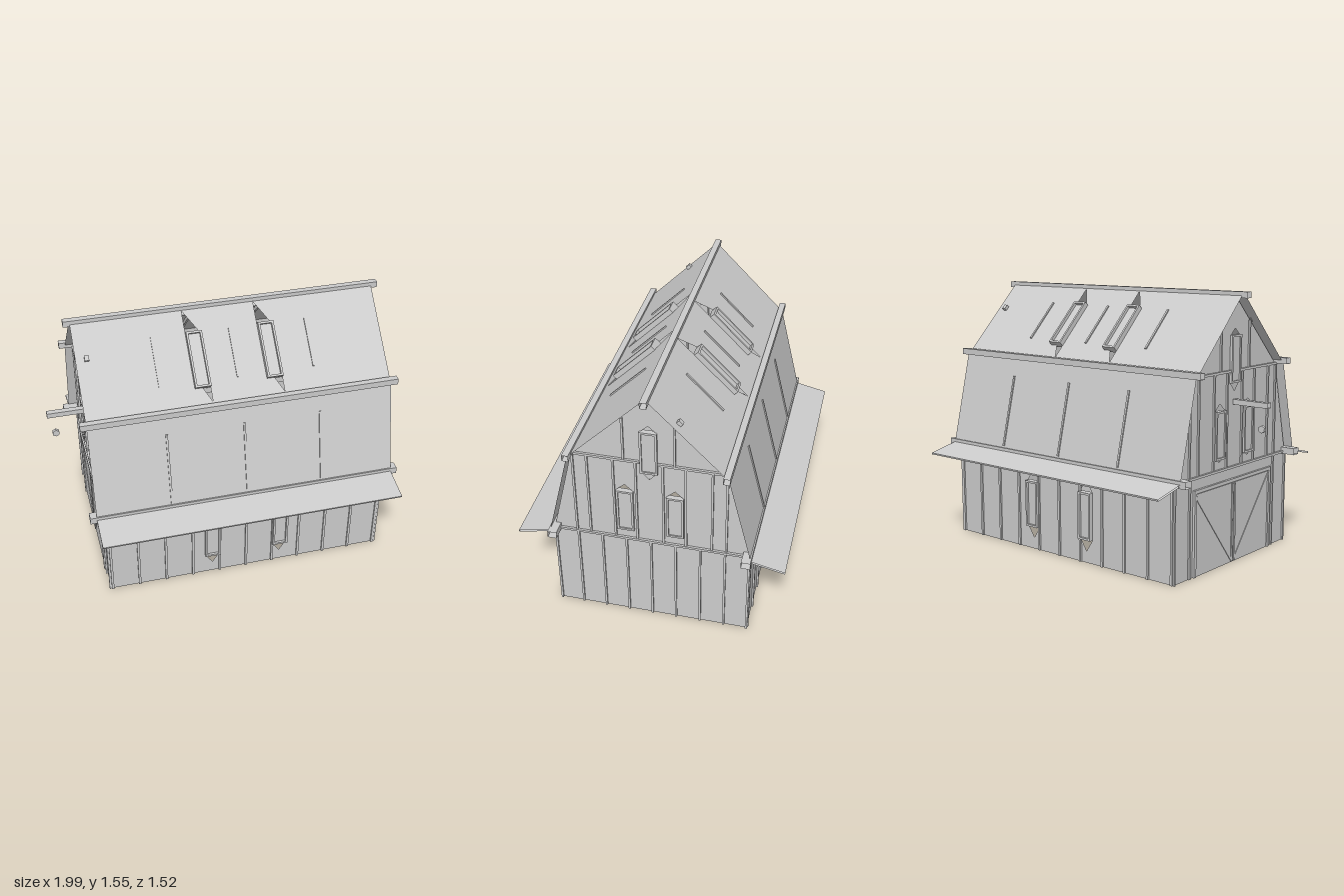
import * as THREE from 'three';

const material = new THREE.MeshStandardMaterial({ color: 0xcccccc, flatShading: true, side: THREE.DoubleSide });

function add(parent, name, geometry, x = 0, y = 0, z = 0) {
  const mesh = new THREE.Mesh(geometry, material);
  mesh.name = name;
  mesh.position.set(x, y, z);
  parent.add(mesh);
  return mesh;
}

const box = (parent, name, w, h, d, x, y, z) => add(parent, name, new THREE.BoxGeometry(w, h, d), x, y, z);

// A board along x whose two ends are left open
function openBoard(parent, name, w, h, d, x, y, z) {
  const g = new THREE.BoxGeometry(w, h, d);
  g.setIndex(Array.from(g.index.array).slice(12));
  g.clearGroups();
  return add(parent, name, g, x, y, z);
}

// A thin sheet with polygon holes
function sheet(parent, name, outline, holes = []) {
  const toVectors = (pts) => pts.map(([x, y]) => new THREE.Vector2(x, y));
  const shape = new THREE.Shape(toVectors(outline));
  for (const h of holes) shape.holes.push(new THREE.Path(toVectors(h)));
  return add(parent, name, new THREE.ShapeGeometry(shape));
}

// Framed window, standing proud of its surface
function windowUnit(parent, name, x, y0, y1, w, out) {
  const g = new THREE.Group();
  g.name = name;
  g.position.set(x, (y0 + y1) / 2, 0);
  const h = y1 - y0, t = 0.012, d = out + 0.015, z = (out - 0.015) / 2;
  for (const s of [-1, 1]) {
    box(g, 'windowJamb', t, h, d, s * (w - t) / 2, 0, z);
    box(g, 'windowRail', w - 2 * t, t, d, 0, s * (h - t) / 2, z);
  }
  box(g, 'windowPane', w - 2 * t, h - 2 * t, 0.006, 0, 0, out * 0.3);
  parent.add(g);
}

// Window opening that runs to a point above and below
const pointedHole = (x, y0, y1, w, top, bottom) => [
  [x - w / 2, y0], [x, y0 - bottom], [x + w / 2, y0],
  [x + w / 2, y1], [x, y1 + top], [x - w / 2, y1],
];

// Group leaning back from (y0, z0) to (y1, z1); its local y runs up the slope
function slope(parent, name, z0, y0, z1, y1) {
  const g = new THREE.Group();
  g.name = name;
  g.position.set(0, y0, z0);
  g.rotation.x = -Math.atan2(z0 - z1, y1 - y0);
  parent.add(g);
  return [g, Math.hypot(z0 - z1, y1 - y0)];
}

const rect = (w, h) => [[-w / 2, 0], [w / 2, 0], [w / 2, h], [-w / 2, h]];

const ROOF = 1.775, WALL = 1.67, BEAM = 1.85;

// One long side: wall, awning, both roof pitches
function longSide() {
  const side = new THREE.Group();
  side.name = 'longSide';
  const wall = new THREE.Group();
  wall.name = 'sideWall';
  wall.position.z = 0.555;
  side.add(wall);
  const xs = [-0.21, 0.21];
  sheet(wall, 'sideWallBoards', rect(WALL, 0.56), xs.map((x) => pointedHole(x, 0.14, 0.42, 0.09, 0.07, 0.07)));
  for (const x of xs) windowUnit(wall, 'sideWindow', x, 0.14, 0.42, 0.092, 0.025);
  for (let i = 0; i <= 10; i++) {
    const x = -0.825 + i * 0.165;
    box(wall, 'sideBatten', 0.014, 0.55, 0.01, x, 0.275, 0.005);
  }

  // Awning over the wall
  const [awning, awningLength] = slope(side, 'awning', 0.76, 0.525, 0.555, 0.57);
  openBoard(awning, 'awningBoard', ROOF, awningLength, 0.01, 0, awningLength / 2, 0);

  // Steep lower pitch
  const [lower, lowerLength] = slope(side, 'lowerRoof', 0.572, 0.565, 0.435, 1.125);
  sheet(lower, 'lowerRoofSheet', rect(ROOF, lowerLength));
  for (const x of [-0.45, 0, 0.45]) box(lower, 'roofBatten', 0.012, 0.43, 0.008, x, 0.25, 0.003);

  // Shallow upper pitch with skylights
  const [upper, upperLength] = slope(side, 'upperRoof', 0.43, 1.12, 0, 1.55);
  sheet(upper, 'upperRoofSheet', rect(ROOF, upperLength), xs.map((x) => [
    [x - 0.045, 0.127], [x, 0.127], [x + 0.044, 0.04], [x + 0.045, 0.45], [x + 0.035, 0.45], [x - 0.045, 0.58],
  ]));
  for (const x of xs) windowUnit(upper, 'skylight', x, 0.127, 0.45, 0.092, 0.03);
  for (const x of [-0.45, 0, 0.45]) box(upper, 'roofBatten', 0.012, 0.29, 0.008, x, 0.305, 0.003);
  box(upper, 'roofPeg', 0.025, 0.03, 0.025, -0.825, 0.38, 0.008);

  // Purlin beams
  openBoard(side, 'eavesBeam', BEAM, 0.04, 0.052, 0, 0.57, 0.548);
  openBoard(side, 'middleBeam', BEAM, 0.036, 0.036, 0, 1.132, 0.433);
  return side;
}

// One gable end: wall, windows, battens and trim
function gableEnd(hasDoor) {
  const end = new THREE.Group();
  end.name = 'gableEnd';
  const outline = [[-0.56, 0], [0.56, 0], [0.56, 0.56], [0.43, 1.11], [0, 1.53], [-0.43, 1.11], [-0.56, 0.56]];
  sheet(end, 'gableWall', outline, [
    pointedHole(0, 1.05, 1.31, 0.09, 0.04, 0.05),
    ...[-0.14, 0.14].map((x) => pointedHole(x, 0.63, 0.9, 0.09, 0.04, 0.02)),
  ]);
  windowUnit(end, 'loftWindow', 0, 1.045, 1.315, 0.096, 0.015);
  for (const s of [-1, 1]) windowUnit(end, 'gableWindow', s * 0.14, 0.625, 0.9, 0.096, 0.015);

  const batten = (x, y0, y1) => box(end, 'gableBatten', 0.012, y1 - y0, 0.01, x, (y0 + y1) / 2, 0.005);
  for (const s of [-1, 1]) {
    for (const x of [0.14, 0.28, 0.42, 0.554]) if (!hasDoor || x > 0.4) batten(s * x, 0, 0.56);
    for (const x of [0.075, 0.2, 0.345]) batten(s * x, 0.56, 1.11);
    batten(s * 0.425, 0.56, 1.1);
    batten(s * 0.14, 1.11, 1.385);
  }
  if (!hasDoor) batten(0, 0, 0.56);
  box(end, 'lowerTrim', 1.13, 0.014, 0.014, 0, 0.562, 0.006);
  for (const s of [-1, 1]) box(end, 'upperTrim', 0.38, 0.014, 0.014, s * 0.24, 1.113, 0.006);
  return end;
}

// Double barn door with braces
function barnDoor(parent) {
  const door = new THREE.Group();
  door.name = 'barnDoor';
  parent.add(door);
  for (const s of [-1, 1]) {
    box(door, 'doorLeaf', 0.36, 0.47, 0.006, s * 0.182, 0.235, 0.004);
    box(door, 'doorPost', 0.02, 0.49, 0.014, s * 0.375, 0.245, 0.007);
    box(door, 'doorStile', 0.015, 0.46, 0.012, s * 0.012, 0.235, 0.006);
    const brace = box(door, 'doorBrace', 0.56, 0.015, 0.01, s * 0.19, 0.235, 0.006);
    brace.rotation.z = s * 0.9;
  }
  box(door, 'doorLintel', 0.77, 0.02, 0.014, 0, 0.485, 0.007);
}

export function createModel() {
  const root = new THREE.Group();
  root.name = 'barn';
  const barn = new THREE.Group();
  barn.name = 'barnBody';
  barn.position.x = 0.068;
  root.add(barn);

  // Two long sides, turned half a circle from each other
  for (const turn of [0, Math.PI]) {
    const side = longSide();
    side.rotation.y = turn;
    barn.add(side);
  }
  openBoard(barn, 'ridgeBeam', BEAM, 0.035, 0.036, 0, 1.537, 0);

  // Gable ends, the -x one carrying the door
  for (const s of [1, -1]) {
    const end = gableEnd(s < 0);
    end.position.x = s * WALL / 2;
    end.rotation.y = s * Math.PI / 2;
    if (s < 0) barnDoor(end);
    barn.add(end);
  }

  // Floor joists across the open interior
  for (let i = 0; i < 7; i++) box(barn, 'joist', 0.035, 0.05, 1.1, -0.69 + i * 0.23, 0.525, 0);

  // Hoist beam with its pulley
  openBoard(root, 'hoistBeam', 0.23, 0.03, 0.034, -0.885, 0.937, 0);
  const pulley = add(root, 'pulley', new THREE.CylinderGeometry(0.022, 0.022, 0.02, 6), -0.957, 0.8, 0);
  pulley.rotation.x = Math.PI / 2;
  return root;
}
